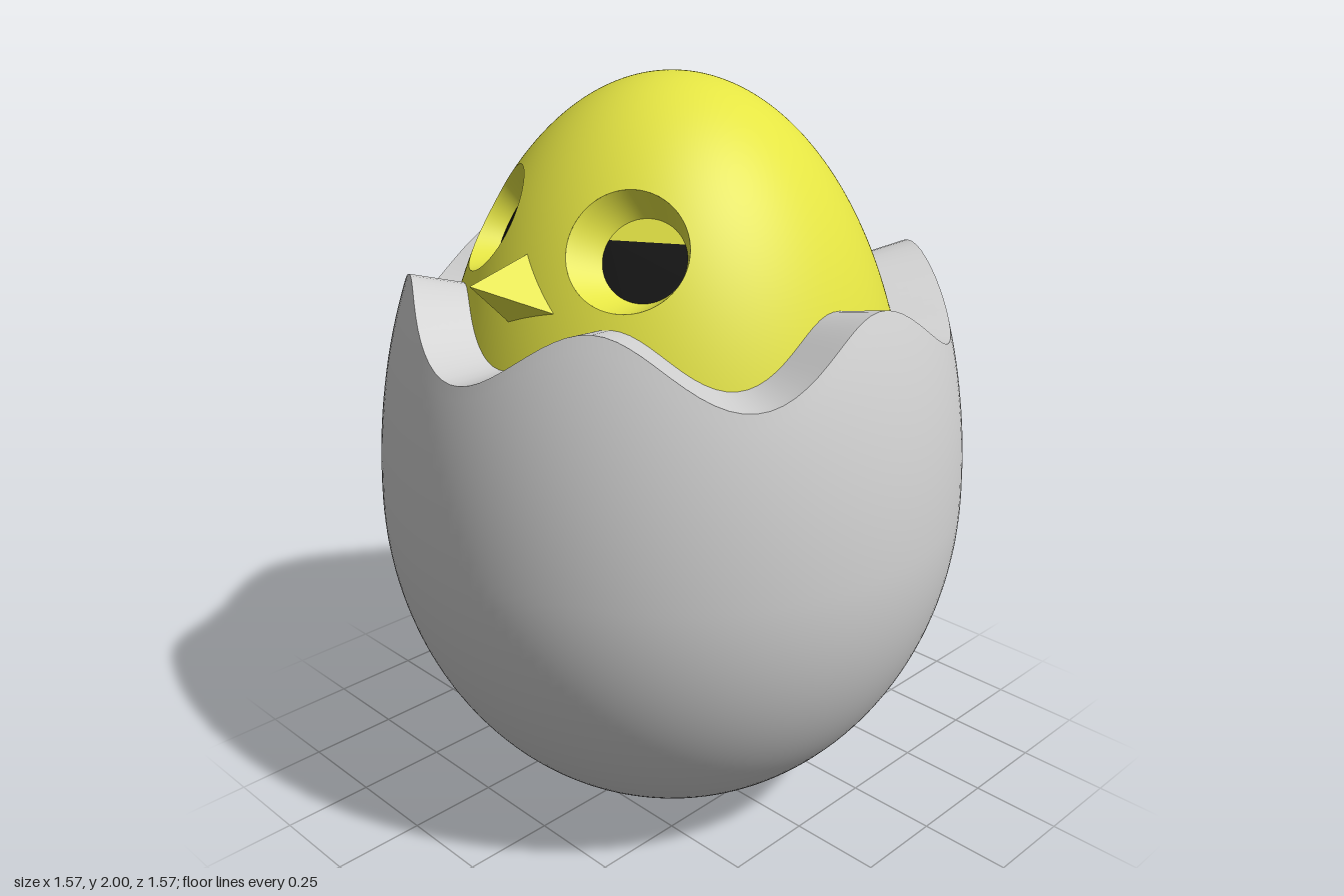
import * as THREE from 'three';

const yellow = new THREE.MeshStandardMaterial({ name: 'chickYellow', color: 0xe4e443, side: THREE.DoubleSide });
const grey = new THREE.MeshStandardMaterial({ name: 'shellGrey', color: 0xd2d2d2, side: THREE.DoubleSide });
const black = new THREE.MeshStandardMaterial({ name: 'pupilBlack', color: 0x0c0c0c, side: THREE.DoubleSide });

const MID = 0.9; // height of the widest ring of both eggs
const SHELL = { a: 0.785, top: 1.22, bottom: 0.9 };
const BODY = { a: 0.64, top: 1.1 };
const EYE_R = 0.147;
const FLOOR_R = 0.102;

function mesh(name, geometry, material) {
  const m = new THREE.Mesh(geometry, material);
  m.name = name;
  return m;
}

// Surface closed around u (0..2pi), open along v (0..1); keep() may drop triangles
function grid(nu, nv, fn, keep = () => true) {
  const pos = [], index = [];
  for (let j = 0; j <= nv; j++) {
    for (let i = 0; i < nu; i++) pos.push(...fn((i / nu) * Math.PI * 2, j / nv).toArray());
  }
  for (let j = 0; j < nv; j++) {
    for (let i = 0; i < nu; i++) {
      const a = j * nu + i, b = j * nu + ((i + 1) % nu);
      for (const t of [[a, b, b + nu], [a, b + nu, a + nu]]) if (keep(t)) index.push(...t);
    }
  }
  const g = new THREE.BufferGeometry();
  g.setAttribute('position', new THREE.Float32BufferAttribute(pos, 3));
  g.setIndex(index);
  g.computeVertexNormals();
  return g;
}

const around = (r, y, th) => new THREE.Vector3(r * Math.sin(th), y, r * Math.cos(th));
const rimY = (th) => 1.4425 - 0.0825 * Math.cos(6 * th);
const innerRimY = (th) => 1.425 - 0.065 * Math.cos(6 * th);
const radiusAt = (egg, y) => egg.a * Math.sqrt(1 - ((y - MID) / egg.top) ** 2);

// Slide a point along dir until it lies on the chick's body
function ontoBody(p, dir) {
  const q = p.clone(), grad = new THREE.Vector3();
  for (let k = 0; k < 8; k++) {
    const f = (q.x * q.x + q.z * q.z) / BODY.a ** 2 + ((q.y - MID) / BODY.top) ** 2 - 1;
    grad.set(2 * q.x / BODY.a ** 2, 2 * (q.y - MID) / BODY.top ** 2, 2 * q.z / BODY.a ** 2);
    q.addScaledVector(dir, -f / grad.dot(dir));
  }
  return q;
}

// Frame of one eye socket: centre, outward axis n, sideways u, upward v
function eyeFrame(side) {
  const n = new THREE.Vector3(0.46 * side, 0.49, 0.74).normalize();
  const u = new THREE.Vector3(0, 1, 0).cross(n).normalize();
  const v = n.clone().cross(u);
  const centre = new THREE.Vector3(0.242 * side, 1.66, 0.39);
  const floor = new THREE.Vector3(0.235 * side, 1.622, 0.323);
  return { n, u, v, centre, floor };
}

function buildBody(eyes) {
  const low = Math.asin((1.2 - MID) / BODY.top);
  const snapped = [];
  const point = (th, t) => {
    const al = low + (Math.PI / 2 - low) * t;
    const p = around(BODY.a * Math.cos(al), MID + BODY.top * Math.sin(al), th);
    let hit = 0;
    let out = p;
    eyes.forEach((e, k) => {
      const d = p.clone().sub(e.centre);
      if (d.dot(e.n) < -0.15) return;
      const x = d.dot(e.u), y = d.dot(e.v), rho = Math.hypot(x, y);
      if (rho >= EYE_R) return;
      // move points inside the socket opening out to its edge
      hit = k + 1;
      const s = EYE_R / Math.max(rho, 1e-6);
      out = ontoBody(e.centre.clone().addScaledVector(e.u, x * s).addScaledVector(e.v, y * s), e.n);
    });
    snapped.push(hit);
    return out;
  };
  return grid(240, 90, point, (t) => !t.every((i) => snapped[i]));
}

function buildEye(e, name) {
  const eye = new THREE.Group();
  eye.name = name;
  // tapering socket wall from the opening down to the floor
  eye.add(mesh('eyeSocket', grid(64, 4, (phi, t) => {
    const dir = e.u.clone().multiplyScalar(Math.cos(phi)).addScaledVector(e.v, Math.sin(phi));
    const edge = ontoBody(e.centre.clone().addScaledVector(dir, EYE_R), e.n);
    return edge.lerp(e.floor.clone().addScaledVector(dir, FLOOR_R), t);
  }), yellow));
  // floor split into a dark pupil and a drooping lid
  const beta = Math.asin(0.045 / FLOOR_R);
  const basis = new THREE.Matrix4().makeBasis(e.u, e.v, e.n).setPosition(e.floor);
  const segment = (from, to) => {
    const s = new THREE.Shape();
    s.absarc(0, 0, FLOOR_R, from, to, false);
    return new THREE.ShapeGeometry(s, 40).applyMatrix4(basis);
  };
  eye.add(mesh('pupil', segment(Math.PI - beta, Math.PI * 2 + beta), black));
  eye.add(mesh('eyelid', segment(beta, Math.PI - beta), yellow));
  return eye;
}

function buildBeak() {
  const top = [0, 1.63, 0.46], tip = [0, 1.58, 0.655], base = [0, 1.47, 0.545];
  const l = [0.135, 1.51, 0.51], r = [-0.135, 1.51, 0.51];
  const g = new THREE.BufferGeometry();
  const faces = [top, tip, l, top, r, tip, tip, base, l, tip, r, base];
  g.setAttribute('position', new THREE.Float32BufferAttribute(faces.flat(), 3));
  g.computeVertexNormals();
  return g;
}

export function createModel() {
  const model = new THREE.Group();
  model.name = 'hatchingChick';

  // Egg shell up to its wavy broken edge
  model.add(mesh('eggShell', grid(144, 64, (th, t) => {
    const end = Math.asin((rimY(th) - MID) / SHELL.top);
    const al = -Math.PI / 2 + (end + Math.PI / 2) * t;
    const h = al < 0 ? SHELL.bottom : SHELL.top;
    return around(SHELL.a * Math.cos(al), MID + h * Math.sin(al), th);
  }), grey));

  // Thick broken edge, running inward to the chick
  model.add(mesh('shellRim', grid(144, 6, (th, t) => {
    const y0 = rimY(th), y1 = innerRimY(th);
    const r0 = radiusAt(SHELL, y0), r1 = radiusAt(BODY, y1) - 0.02;
    return around(r0 + (r1 - r0) * t, y0 + (y1 - y0) * t, th);
  }), grey));

  // Chick
  const eyes = [eyeFrame(1), eyeFrame(-1)];
  model.add(mesh('chickBody', buildBody(eyes), yellow));
  model.add(buildEye(eyes[0], 'leftEye'), buildEye(eyes[1], 'rightEye'));
  model.add(mesh('beak', buildBeak(), yellow));
  return model;
}
